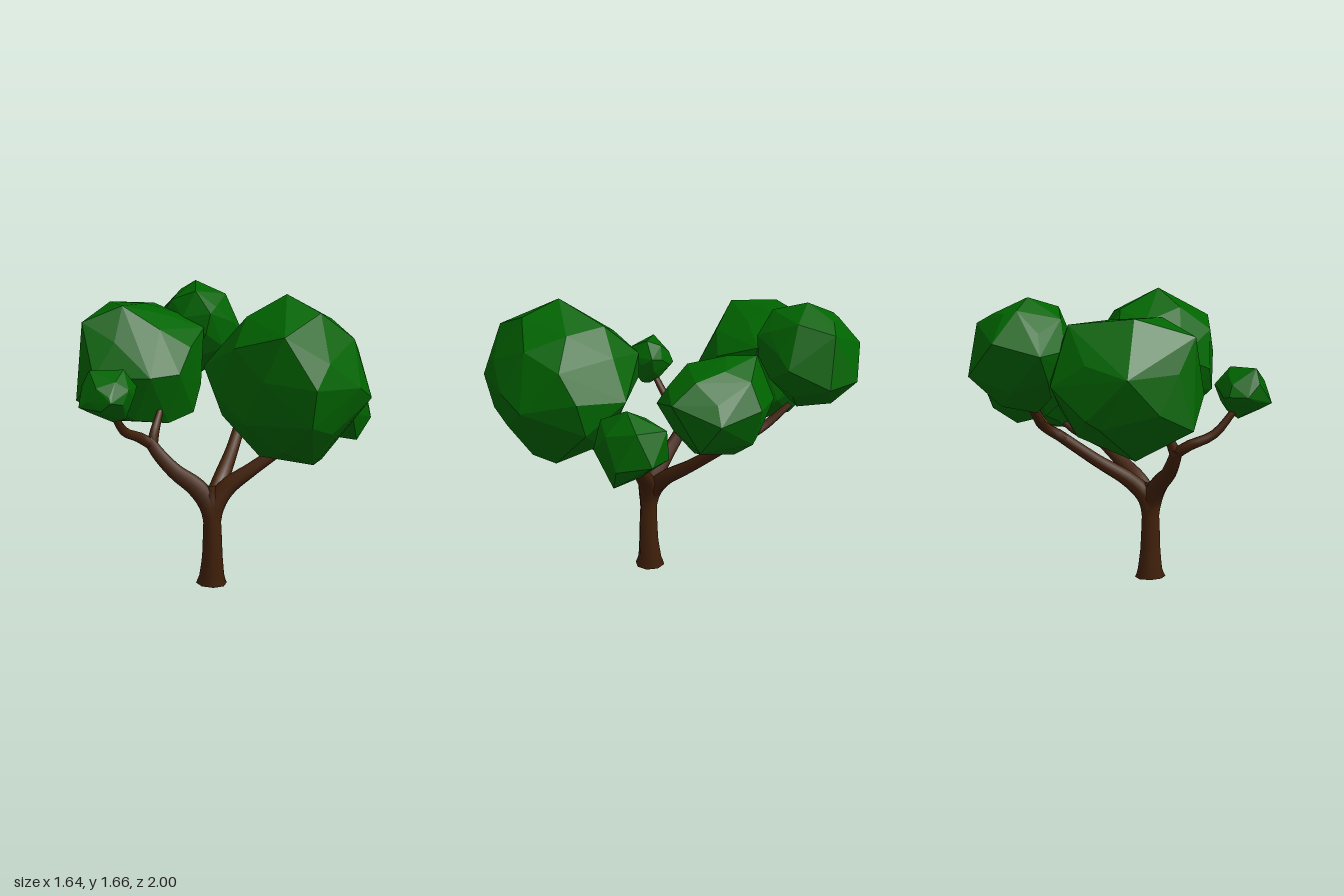
import * as THREE from 'three';
import { ConvexGeometry } from 'three/addons/geometries/ConvexGeometry.js';

const V = (p) => new THREE.Vector3(...p);
const bark = new THREE.MeshStandardMaterial({ color: 0x42210a });
const leaf = new THREE.MeshStandardMaterial({ color: 0x006400, flatShading: true });

function seeded(seed) {
  return () => (seed = (seed * 16807) % 2147483647) / 2147483647;
}

// Tapered limb: stations are [x, y, z, radius]
function limb(name, stations, seg = 16) {
  const curve = new THREE.CatmullRomCurve3(stations.map((s) => V(s.slice(0, 3))));
  const geo = new THREE.TubeGeometry(curve, seg, 1, 8);
  const pos = geo.attributes.position;
  const v = new THREE.Vector3();
  for (let i = 0; i <= seg; i++) {
    const c = curve.getPointAt(i / seg);
    const t = curve.getUtoTmapping(i / seg) * (stations.length - 1);
    const k = Math.min(Math.floor(t), stations.length - 2);
    const r = THREE.MathUtils.lerp(stations[k][3], stations[k + 1][3], t - k);
    for (let j = 0; j <= 8; j++) {
      const n = i * 9 + j;
      v.fromBufferAttribute(pos, n).sub(c).multiplyScalar(r).add(c);
      pos.setXYZ(n, v.x, v.y, v.z);
    }
  }
  const mesh = new THREE.Mesh(geo, bark);
  mesh.name = name;
  return mesh;
}

// Faceted leaf clump: hull of a jittered ellipsoid plus its outer corners
function clump(name, seed, center, radii, corners) {
  const rnd = seeded(seed);
  const pts = corners.map(V);
  const count = 28;
  for (let i = 0; i < count; i++) {
    const y = 1 - (2 * i + 1) / count;
    const a = i * 2.39996 + seed;
    const h = Math.sqrt(1 - y * y);
    const s = 0.89 + 0.1 * rnd();
    pts.push(V([Math.cos(a) * h, y, Math.sin(a) * h]).multiplyScalar(s).multiply(V(radii)).add(V(center)));
  }
  const mesh = new THREE.Mesh(new ConvexGeometry(pts), leaf);
  mesh.name = name;
  return mesh;
}

export function createModel() {
  const tree = new THREE.Group();
  tree.name = 'tree';

  // Trunk with flared foot
  tree.add(limb('trunk', [
    [-0.095, 0, 0.175, 0.088], [-0.093, 0.04, 0.175, 0.072], [-0.09, 0.16, 0.18, 0.058],
    [-0.09, 0.36, 0.18, 0.05], [-0.09, 0.46, 0.175, 0.058], [-0.09, 0.52, 0.165, 0.054], [-0.09, 0.565, 0.16, 0.02],
  ], 24));
  const foot = new THREE.Mesh(new THREE.CircleGeometry(0.088, 8), bark);
  foot.name = 'trunkFoot';
  foot.rotation.x = Math.PI / 2;
  foot.position.set(-0.095, 0.001, 0.175);
  tree.add(foot);

  // Main limbs, splaying smoothly out of the trunk
  tree.add(
    limb('leftLimb', [[-0.09, 0.34, 0.18, 0.046], [-0.105, 0.45, 0.177, 0.056], [-0.17, 0.55, 0.155, 0.055],
      [-0.29, 0.64, 0.11, 0.044], [-0.38, 0.735, 0.06, 0.037], [-0.43, 0.81, 0.035, 0.031]]),
    limb('rightLimb', [[-0.09, 0.34, 0.18, 0.046], [-0.075, 0.45, 0.178, 0.056], [-0.01, 0.55, 0.17, 0.053],
      [0.13, 0.65, 0.167, 0.04], [0.29, 0.755, 0.157, 0.033]]),
    limb('backLimb', [[-0.09, 0.36, 0.18, 0.045], [-0.08, 0.47, 0.155, 0.052], [-0.03, 0.57, 0.08, 0.048],
      [0.06, 0.7, -0.1, 0.037], [0.16, 0.87, -0.32, 0.032]]),
  );

  // Twigs reaching into the leaf clumps
  const twigs = {
    leftFrontTwig: [[-0.41, 0.78, 0.04, 0.032], [-0.48, 0.83, 0.07, 0.03], [-0.57, 0.89, 0.17, 0.025], [-0.64, 1.04, 0.28, 0.018]],
    leftBackTwig: [[-0.41, 0.78, 0.04, 0.032], [-0.39, 0.86, 0.01, 0.026], [-0.355, 0.95, -0.06, 0.018]],
    rightOuterTwig: [[0.26, 0.74, 0.157, 0.033], [0.38, 0.77, 0.14, 0.027], [0.47, 0.8, 0.11, 0.023], [0.58, 0.86, 0.09, 0.018]],
    rightFrontTwig: [[0.26, 0.74, 0.157, 0.032], [0.3, 0.78, 0.21, 0.028], [0.29, 0.87, 0.41, 0.02]],
    backOuterTwig: [[0.14, 0.84, -0.28, 0.032], [0.17, 0.91, -0.39, 0.03], [0.08, 0.97, -0.51, 0.026], [0, 1.08, -0.64, 0.018]],
    backRightTwig: [[0.14, 0.84, -0.28, 0.032], [0.21, 0.91, -0.35, 0.026], [0.32, 1.0, -0.34, 0.018]],
  };
  for (const [name, stations] of Object.entries(twigs)) tree.add(limb(name, stations, 9));

  // Leaf clumps
  tree.add(
    clump('frontLeaves', 11, [0.255, 1.23, 0.58], [0.41, 0.42, 0.41], [
      [0.24, 1.66, 0.58], [0.38, 1.58, 0.74], [0.5, 1.52, 0.46], [0.645, 1.36, 0.46], [0.667, 1.14, 0.67],
      [0.44, 0.8, 0.56], [0.36, 0.81, 0.72], [0.11, 0.825, 0.56], [-0.09, 1.055, 0.6], [-0.155, 1.27, 0.36],
      [0, 1.48, 0.5], [0.3, 1.535, 0.315], [0.16, 1.365, 0.165], [0.02, 1.2, 0.2], [0.44, 1.17, 0.165],
      [0.35, 0.89, 0.33], [0.31, 1.24, 1.0], [0.16, 1.49, 0.95], [0.3, 1.05, 0.955], [0.65, 1.2, 0.37], [0.6, 1.02, 0.34],
    ]),
    clump('leftLeaves', 23, [-0.44, 1.18, -0.4], [0.38, 0.35, 0.37], [
      [-0.61, 1.53, -0.48], [-0.55, 1.53, -0.22], [-0.41, 1.52, -0.45], [-0.34, 1.5, -0.67], [-0.21, 1.45, -0.55],
      [-0.06, 1.37, -0.45], [-0.09, 1.05, -0.35], [-0.14, 0.89, -0.3], [-0.3, 0.855, -0.17], [-0.5, 0.88, -0.14],
      [-0.58, 0.82, -0.44], [-0.825, 0.98, -0.28], [-0.78, 1.44, -0.22], [-0.34, 1.2, -0.79], [-0.53, 1.04, -0.73],
      [-0.735, 1.25, -0.65], [-0.725, 1.14, -0.09], [-0.41, 1.14, -0.03], [-0.24, 1.15, -0.09],
    ]),
    clump('backLeaves', 37, [-0.07, 1.34, -0.72], [0.27, 0.28, 0.27], [
      [-0.08, 1.63, -0.71], [-0.25, 1.48, -0.7], [0.1, 1.53, -0.7], [0.12, 1.5, -0.88], [0.01, 1.55, -0.86],
      [-0.1, 1.55, -0.88], [-0.1, 1.58, -0.52], [-0.15, 1.41, -0.995], [0.04, 1.24, -1.0], [0.18, 1.22, -0.87],
      [0.2, 1.32, -0.65], [-0.02, 1.45, -0.45], [-0.18, 1.4, -0.52], [-0.31, 1.3, -0.69], [-0.35, 1.35, -0.86],
      [-0.05, 1.085, -0.86], [-0.1, 1.04, -0.67],
    ]),
    clump('rightBackLeaves', 41, [0.42, 1.17, -0.3], [0.27, 0.26, 0.28], [
      [0.36, 1.43, -0.35], [0.33, 1.43, -0.5], [0.52, 1.34, -0.5], [0.3, 1.2, -0.59], [0.54, 1.2, -0.56],
      [0.7, 1.15, -0.385], [0.68, 1.24, -0.13], [0.65, 0.99, -0.27], [0.45, 1.18, 0], [0.2, 1.28, -0.12],
      [0.22, 1.1, -0.1], [0.15, 1.2, -0.4], [0.48, 1.0, -0.51], [0.4, 0.91, -0.4], [0.45, 0.92, -0.2], [0.42, 1.32, -0.12],
    ]),
    clump('rightLeaves', 53, [0.635, 1.0, 0.09], [0.18, 0.18, 0.18], [
      [0.8, 1.12, 0.02], [0.68, 1.2, 0.1], [0.82, 0.92, 0.12], [0.73, 0.8, 0.16], [0.56, 0.82, 0.1], [0.65, 1.1, -0.1],
      [0.8, 0.95, -0.06], [0.6, 0.93, -0.1], [0.67, 0.98, 0.28], [0.48, 1.0, 0.2], [0.44, 1.0, 0.05], [0.6, 1.12, 0.26],
    ]),
    clump('leftFrontLeaves', 67, [-0.655, 1.115, 0.31], [0.145, 0.135, 0.145], [
      [-0.75, 1.25, 0.3], [-0.57, 1.25, 0.3], [-0.5, 1.15, 0.25], [-0.565, 0.99, 0.33], [-0.63, 0.97, 0.3],
      [-0.81, 1.065, 0.36], [-0.79, 1.17, 0.28], [-0.77, 1.1, 0.21], [-0.68, 1.1, 0.16], [-0.645, 1.1, 0.46],
      [-0.55, 1.15, 0.39],
    ]),
  );
  return tree;
}
